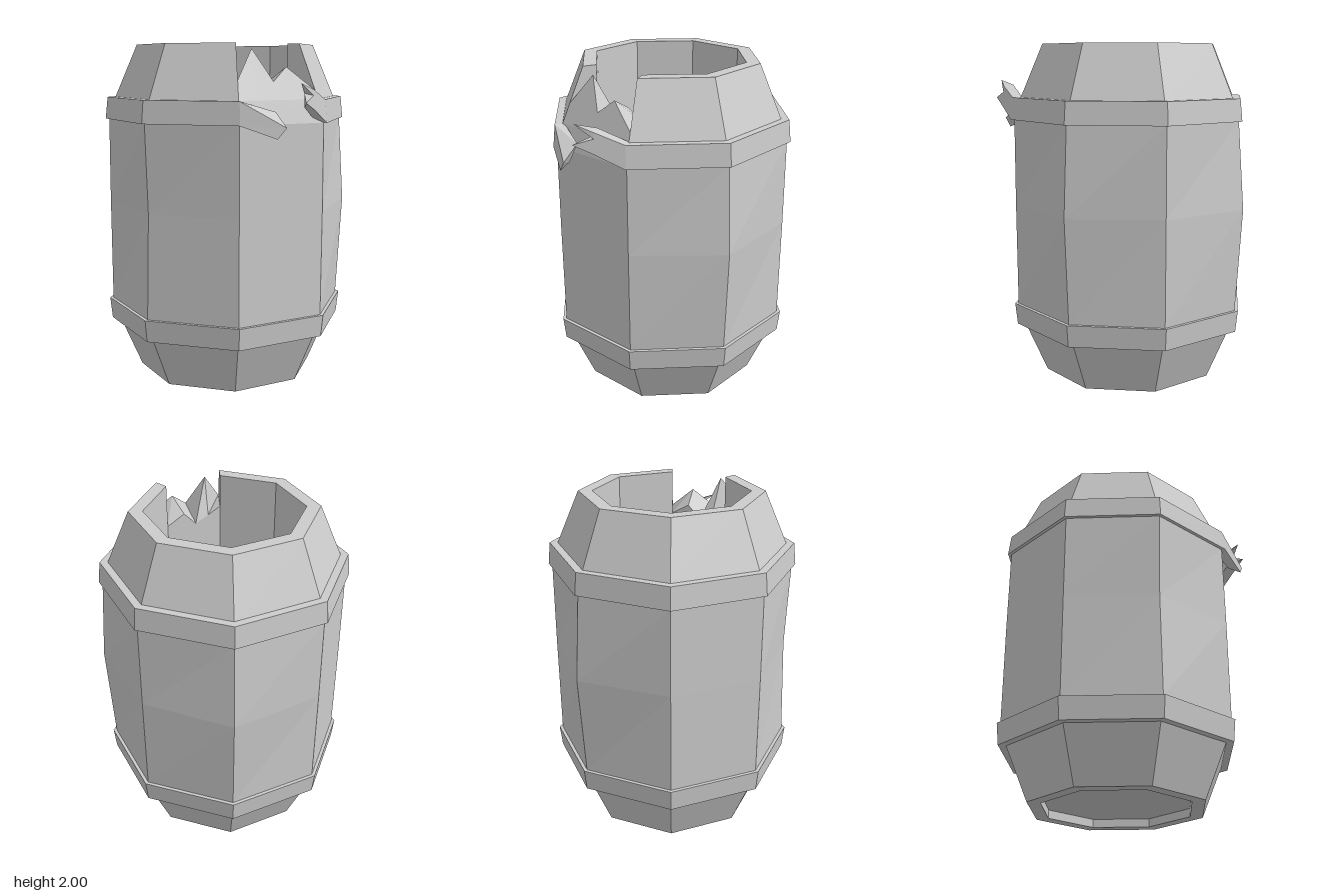
import * as THREE from 'three';

const material = new THREE.MeshStandardMaterial({ color: 0xcccccc, flatShading: true, side: THREE.DoubleSide });

// Corner k of the eight-sided barrel; the broken side lies between corners 7 and 0 (= 8)
function corner(k, r, y) {
  const a = THREE.MathUtils.degToRad(36.7 + 45 * k);
  return new THREE.Vector3(-0.005 + r * Math.sin(a), y, -0.024 + r * Math.cos(a));
}

// Point on the broken side: s runs from corner 7 to corner 8
const onBreak = (s, r, y) => corner(7, r, y).lerp(corner(8, r, y), s);

// Skin a list of sections, each holding the same number of points
function loft(name, sections, { closed = false, caps = false } = {}) {
  const out = [];
  const tri = (a, b, c) => {
    const area = new THREE.Vector3().subVectors(b, a).cross(new THREE.Vector3().subVectors(c, a)).length();
    if (area > 1e-7) for (const p of [a, b, c]) out.push(p.x, p.y, p.z);
  };
  const n = sections[0].length;
  for (let i = 0; i < sections.length - 1; i++) {
    for (let j = 0; j < (closed ? n : n - 1); j++) {
      const [a, b] = [sections[i], sections[i + 1]];
      const m = (j + 1) % n;
      tri(a[j], b[j], b[m]);
      tri(a[j], b[m], a[m]);
    }
  }
  if (caps) {
    const first = sections[0], last = sections[sections.length - 1];
    for (let j = 1; j < n - 1; j++) {
      tri(first[0], first[j], first[j + 1]);
      tri(last[0], last[j + 1], last[j]);
    }
  }
  const geometry = new THREE.BufferGeometry();
  geometry.setAttribute('position', new THREE.Float32BufferAttribute(out, 3));
  geometry.computeVertexNormals();
  const mesh = new THREE.Mesh(geometry, material);
  mesh.name = name;
  return mesh;
}

// Sweep a [radius, y] profile around corners 0..last; a radius may be a list per corner
function sweep(name, profile, last, options) {
  const sections = [];
  for (let k = 0; k <= last; k++) {
    sections.push(profile.map(([r, y]) => corner(k, Array.isArray(r) ? r[k % 8] : r, y)));
  }
  return loft(name, sections, options);
}

export function createModel() {
  const group = new THREE.Group();
  group.name = 'brokenBarrel';
  const v = (x, y, z) => new THREE.Vector3(x, y, z);

  // Staves with a recessed bottom and a dented, bulging waist
  const waist = [0.712, 0.743, 0.712, 0.749, 0.712, 0.712, 0.69, 0.712];
  group.add(sweep('staves', [
    [0, 0.05], [0.455, 0.05], [0.455, 0], [0.536, 0], [0.67, 0.31],
    [0.71, 0.44], [waist, 1.05], [0.71, 1.56], [0.67, 1.69],
  ], 8));

  // Straight inner wall and floor
  group.add(sweep('innerWall', [[0.455, 1.6], [0.455, 0.1], [0, 0.1]], 8));

  // Tapered top, open on the broken side
  group.add(sweep('upperCollar', [[0.455, 1.6], [0.67, 1.69], [0.536, 2], [0.455, 2]], 7,
    { closed: true, caps: true }));

  // Splintered stump of the broken side: [s, outer height, inner height]
  const splinters = [[0, 1.8, 1.8], [0.23, 1.97, 1.76], [0.47, 1.79, 1.72], [0.69, 1.87, 1.8], [1, 1.74, 1.74]];
  group.add(loft('splinters', splinters.map(([s, yOut, yIn]) => [
    onBreak(s, 0.67, 1.69),
    onBreak(s, 0.67 - 0.134 * (yOut - 1.69) / 0.31, yOut),
    onBreak(s, 0.455, yIn),
    onBreak(s, 0.455, 1.6),
  ])));

  // Hoops: the lower is whole, the upper has snapped
  const hoop = [[0.66, 1.56], [0.731, 1.56], [0.717, 1.69], [0.66, 1.69]];
  const lowerHoop = hoop.map(([r, y]) => [r, 2 - y]).reverse();
  group.add(sweep('lowerHoop', lowerHoop, 8, { closed: true }));
  group.add(sweep('upperHoop', hoop, 7, { closed: true }));

  // Drooping hoop end
  const solid = { closed: true, caps: true };
  group.add(loft('droopingHoopEnd', [
    hoop.map(([r, y]) => corner(7, r, y)),
    [v(0.06, 1.52, 0.69), v(0.08, 1.49, 0.76), v(0.13, 1.55, 0.765), v(0.1, 1.63, 0.66)],
  ], solid));

  // Bent hoop end, splitting into two prongs
  const [ib, ob, ot, it] = [v(0.27, 1.65, 0.64), v(0.31, 1.64, 0.69), v(0.31, 1.75, 0.67), v(0.27, 1.76, 0.63)];
  const om = ob.clone().lerp(ot, 0.7), im = ib.clone().lerp(it, 0.7);
  group.add(loft('bentHoopEnd', [[ib, ob, ot, it], hoop.map(([r, y]) => corner(0, r, y))], solid));
  const prong = (name, tip, section) =>
    group.add(loft(name, [section.map(() => tip), section], { closed: true }));
  prong('upperProng', v(0.215, 1.785, 0.74), [im, om, ot, it]);
  prong('lowerProng', v(0.235, 1.68, 0.765), [ib, ob, om, im]);

  return group;
}
